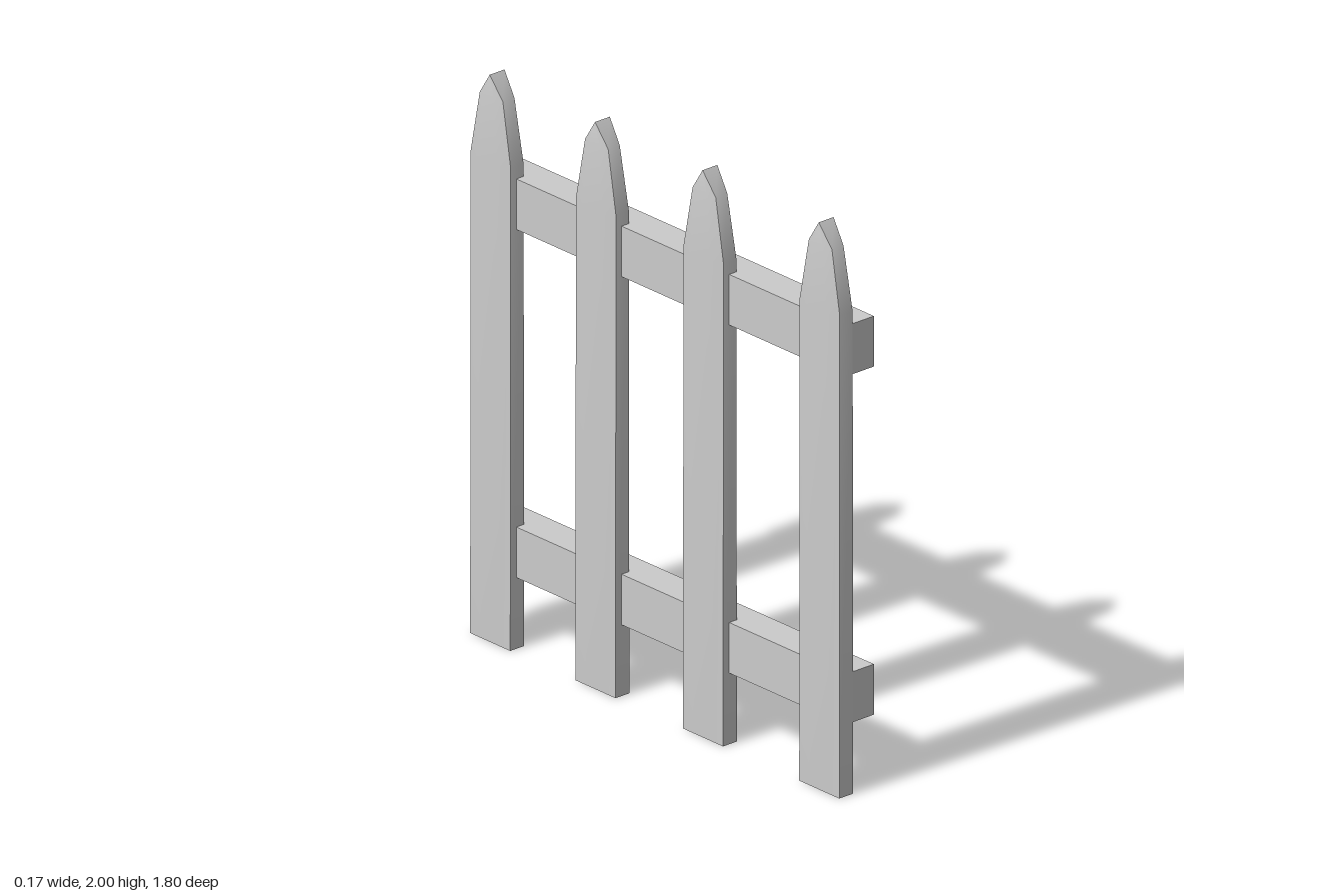
import * as THREE from 'three';
import { toCreasedNormals } from 'three/addons/utils/BufferGeometryUtils.js';

const material = new THREE.MeshStandardMaterial({ color: 0xcccccc });

// Picket levels: height, half width (z), half thickness at the edges, half thickness in the middle
const LEVELS = [
  [0, 0.097, 0.03, 0.03],
  [1.7, 0.097, 0.028, 0.046],
  [1.92, 0.056, 0.025, 0.037],
  [2, 0, 0.032, 0.032],
];

// Eight-sided board that swells towards the top and closes in a short ridge
function picketGeometry() {
  const positions = [];
  const indices = [];
  for (const [y, w, e, m] of LEVELS) {
    const ring = [[-e, w], [e, w], [m, w / 2], [m, -w / 2], [e, -w], [-e, -w], [-m, -w / 2], [-m, w / 2]];
    for (const [x, z] of ring) positions.push(x, y, z);
  }
  for (let level = 0; level < LEVELS.length - 1; level++) {
    for (let i = 0; i < 8; i++) {
      const a = level * 8 + i;
      const b = level * 8 + ((i + 1) % 8);
      indices.push(a, b, b + 8, a, b + 8, a + 8);
    }
  }
  // Flat foot
  for (let i = 1; i < 7; i++) indices.push(0, i + 1, i);
  const geometry = new THREE.BufferGeometry();
  geometry.setAttribute('position', new THREE.Float32BufferAttribute(positions, 3));
  geometry.setIndex(indices);
  return toCreasedNormals(geometry, THREE.MathUtils.degToRad(35));
}

export function createModel() {
  const fence = new THREE.Group();
  fence.name = 'picketFence';

  // Upright pickets
  const geometry = picketGeometry();
  [0.806, 0.243, -0.278, -0.788].forEach((z, i) => {
    const picket = new THREE.Mesh(geometry, material);
    picket.name = `picket${i + 1}`;
    picket.position.set(-0.04, 0, z);
    fence.add(picket);
  });

  // Horizontal rails
  const railGeometry = new THREE.BoxGeometry(0.125, 0.178, 1.802);
  for (const [name, y] of [['lowerRail', 0.34], ['upperRail', 1.567]]) {
    const rail = new THREE.Mesh(railGeometry, material);
    rail.name = name;
    rail.position.set(0.019, y, 0);
    fence.add(rail);
  }
  return fence;
}
